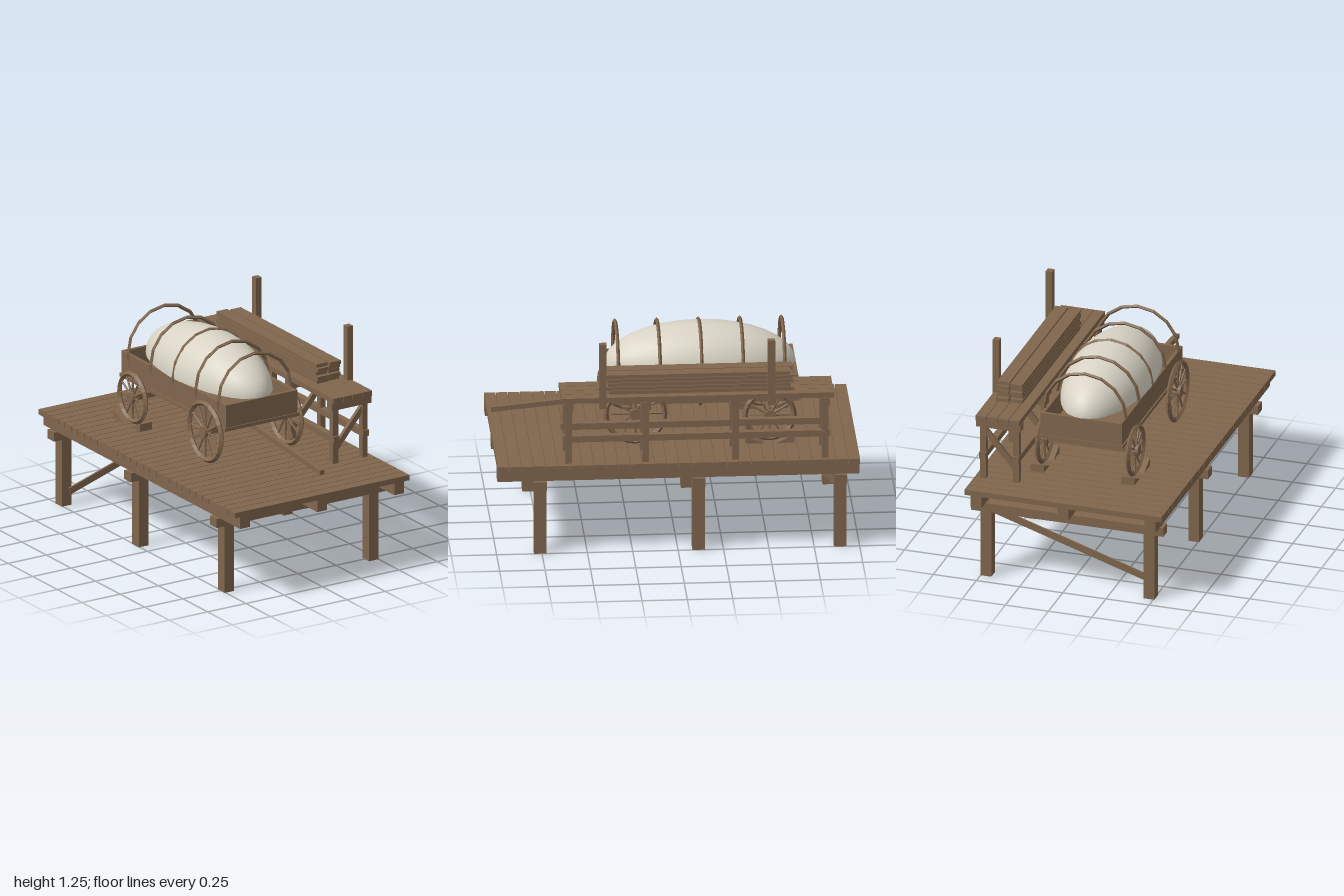
import * as THREE from 'three';

export function createModel() {
  const wood = new THREE.MeshStandardMaterial({ color: 0x80664d, flatShading: true });
  wood.name = 'wood';
  const canvas = new THREE.MeshStandardMaterial({ color: 0xd8d3c4, side: THREE.DoubleSide });
  canvas.name = 'canvas';
  const root = new THREE.Group();
  root.name = 'loadingPlatform';

  const group = (name) => {
    const g = new THREE.Group();
    g.name = name;
    root.add(g);
    return g;
  };
  const add = (parent, name, geo, mat = wood) => {
    const m = new THREE.Mesh(geo, mat);
    m.name = name;
    parent.add(m);
    return m;
  };
  // Box given by its limits on each axis
  const box = (parent, name, x0, x1, y0, y1, z0, z1) => {
    const m = add(parent, name, new THREE.BoxGeometry(x1 - x0, y1 - y0, z1 - z0));
    m.position.set((x0 + x1) / 2, (y0 + y1) / 2, (z0 + z1) / 2);
    return m;
  };
  // Straight timber between two points
  const beam = (parent, name, a, b, w, h) => {
    const p = new THREE.Vector3(...a), q = new THREE.Vector3(...b);
    const m = add(parent, name, new THREE.BoxGeometry(w, h, p.distanceTo(q)));
    m.position.copy(p).lerp(q, 0.5);
    m.lookAt(q);
    return m;
  };

  // Raised deck
  const deck = group('deck');
  const planks = 30, pitch = 2 / planks;
  for (let i = 0; i < planks; i++) {
    const z = -1 + i * pitch;
    box(deck, 'deckPlank', -0.57, 0.57, 0.51, 0.541, z + 0.002, z + pitch - 0.002);
  }
  for (const x of [-0.505, 0, 0.503]) box(deck, 'stringer', x - 0.032, x + 0.032, 0.442, 0.511, -0.998, 0.998);
  for (const z of [0.76, -0.113, -0.893]) {
    box(deck, 'crossBeam', -0.558, 0.555, 0.39, 0.442, z - 0.034, z + 0.034);
    for (const x of [-0.475, 0.469]) box(deck, 'deckPost', x - 0.031, x + 0.031, 0, 0.392, z - 0.034, z + 0.034);
  }
  beam(deck, 'rearBrace', [-0.46, 0.085, -0.852], [0.455, 0.378, -0.852], 0.012, 0.038);

  // Wagon bed
  const wagon = group('wagon');
  box(wagon, 'bedFloor', -0.243, 0.243, 0.765, 0.785, -0.685, 0.388);
  for (const s of [-1, 1]) {
    const side = box(wagon, 'bedSide', -0.01, 0.01, 0.78, 0.915, -0.678, 0.38);
    side.position.x = s * 0.225;
  }
  box(wagon, 'bedFront', -0.234, 0.234, 0.78, 0.916, 0.362, 0.382);
  box(wagon, 'bedBack', -0.234, 0.234, 0.78, 0.916, -0.68, -0.66);

  // Domed load, lengthwise along the bed
  const load = add(wagon, 'canvasLoad',
    new THREE.SphereGeometry(1, 20, 16, 0, Math.PI).rotateX(-Math.PI / 2), canvas);
  load.scale.set(0.238, 0.238, 0.53);
  load.position.set(0, 0.913, -0.15);

  // Hoops: open arcs, with one full ring in the middle
  const hoop = (z, steps, start) => {
    const geo = new THREE.TorusGeometry(0.237, 0.01, 4, steps, steps * Math.PI / 8);
    const m = add(wagon, 'hoop', geo.rotateZ(start));
    m.position.set(0, 0.918, z);
  };
  for (const z of [0.31, 0.08, -0.378, -0.607]) hoop(z, 10, -Math.PI / 8);
  hoop(-0.15, 16, 0);

  // Wheels and axles
  const wheel = (x, y, z, r) => {
    const w = new THREE.Group();
    w.name = 'wheel';
    const rim = add(w, 'rim', new THREE.TorusGeometry(r - 0.015, 0.015, 4, 24));
    rim.rotation.y = Math.PI / 2;
    add(w, 'hub', new THREE.CylinderGeometry(0.033, 0.033, 0.045, 10).rotateZ(Math.PI / 2));
    for (let i = 0; i < 12; i++) {
      const spoke = add(w, 'spoke',
        new THREE.CylinderGeometry(0.005, 0.007, r - 0.04, 5).translate(0, r / 2, 0));
      spoke.rotation.x = i * Math.PI / 6;
    }
    w.position.set(x, y, z);
    wagon.add(w);
  };
  for (const [y, z, r] of [[0.72, 0.22, 0.177], [0.693, -0.52, 0.15]]) {
    for (const s of [-1, 1]) wheel(s * 0.262, y, z, r);
    box(wagon, 'axle', -0.28, 0.28, y - 0.015, y + 0.015, z - 0.015, z + 0.015);
  }
  beam(wagon, 'tongue', [0, 0.74, 0.2], [0, 0.667, 0.998], 0.028, 0.028);

  // Wedges against the rear wheels
  const wedgeShape = new THREE.Shape();
  wedgeShape.moveTo(0, 0);
  wedgeShape.lineTo(0.1, 0);
  wedgeShape.lineTo(0.1, 0.044);
  wedgeShape.closePath();
  const wedgeGeo = new THREE.ExtrudeGeometry(wedgeShape, { depth: 0.076, bevelEnabled: false })
    .translate(0.035, 0, -0.038);
  for (const x of [-0.262, 0.262]) {
    for (const s of [-1, 1]) {
      const chock = add(wagon, 'wheelChock', wedgeGeo);
      chock.rotation.y = s * Math.PI / 2;
      chock.position.set(x, 0.541, -0.52);
    }
  }

  // Long bench on four braced frames
  const bench = group('bench');
  for (const z of [0.606, 0.18, -0.314, -0.807]) {
    for (const x of [0.329, 0.52]) box(bench, 'benchLeg', x - 0.017, x + 0.017, 0.54, 0.857, z - 0.018, z + 0.018);
    box(bench, 'benchCap', 0.3, 0.557, 0.855, 0.9, z - 0.026, z + 0.026);
    beam(bench, 'benchBrace', [0.335, 0.622, z], [0.518, 0.838, z], 0.022, 0.032);
  }
  for (const x of [0.329, 0.52]) box(bench, 'benchRail', x - 0.019, x + 0.019, 0.666, 0.702, -0.835, 0.635);
  for (let i = 0; i < 4; i++) {
    const x = 0.3 + i * 0.064;
    box(bench, 'benchBoard', x + 0.001, x + 0.062, 0.9, 0.93, -0.855, 0.645);
  }
  for (const z of [0.418, -0.511]) box(bench, 'uprightPost', 0.525, 0.562, 0.867, 1.245, z - 0.02, z + 0.02);

  // Two stacks of boards, ends slightly staggered
  const stagger = [0, 0.012, -0.008, 0.008, -0.004];
  for (let i = 0; i < 5; i++) {
    const y = 0.93 + i * 0.023;
    [0.357, 0.435].forEach((x, j) => {
      const d = stagger[(i + 2 * j) % 5];
      box(bench, 'stackedBoard', x, x + 0.071, y, y + 0.02, -0.63 + d, 0.39 + d);
    });
  }
  return root;
}
